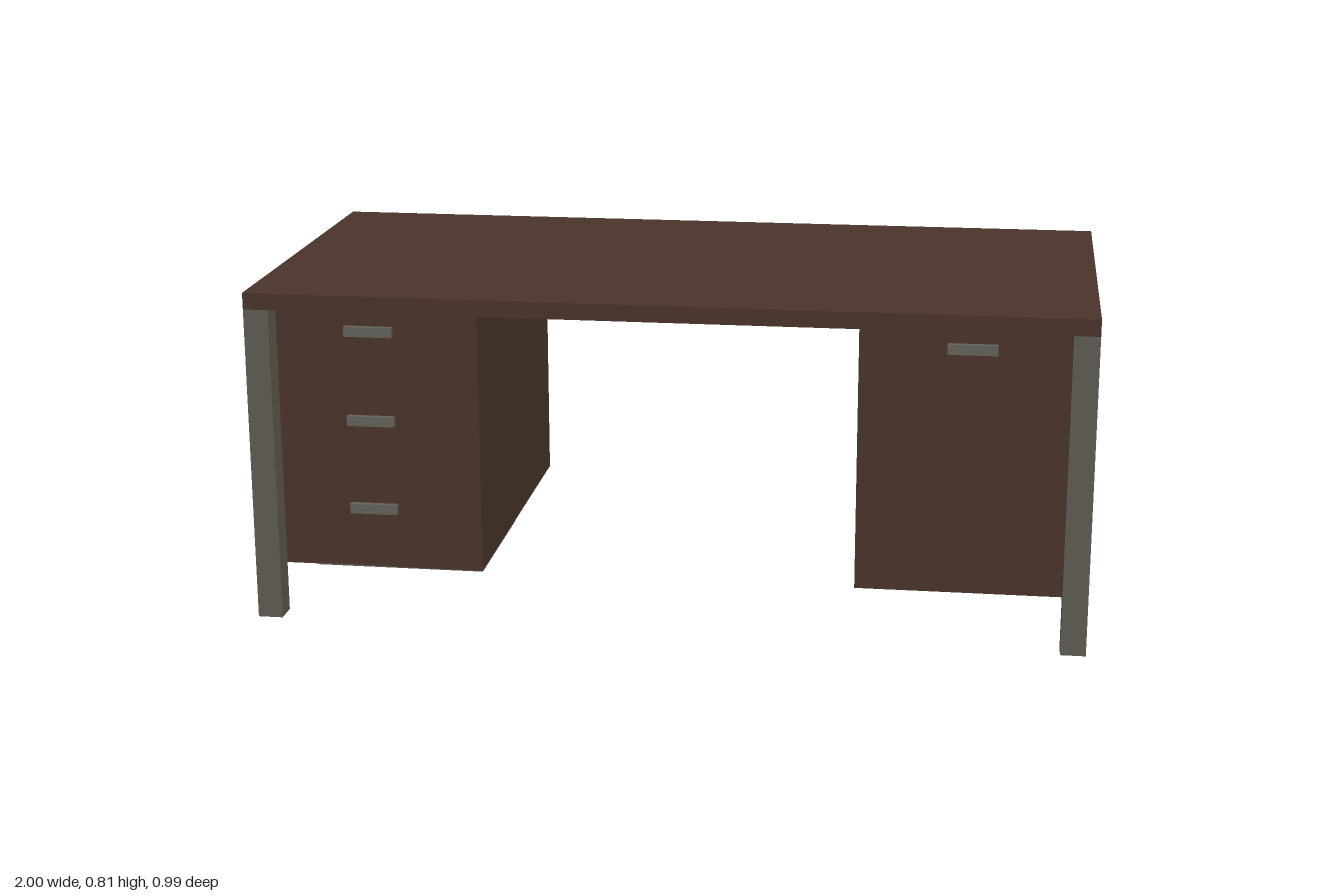
import * as THREE from 'three';

const wood = new THREE.MeshStandardMaterial({ color: 0x4a342b });
wood.name = 'dark wood';
const metal = new THREE.MeshStandardMaterial({ color: 0x5e5b52 });
metal.name = 'grey metal';
const handleMetal = new THREE.MeshStandardMaterial({ color: 0x62615a });
handleMetal.name = 'handle metal';

// Box given by its lower and upper corner
function box(name, material, [x0, y0, z0], [x1, y1, z1]) {
  const mesh = new THREE.Mesh(new THREE.BoxGeometry(x1 - x0, y1 - y0, z1 - z0), material);
  mesh.position.set((x0 + x1) / 2, (y0 + y1) / 2, (z0 + z1) / 2);
  mesh.name = name;
  return mesh;
}

export function createModel() {
  const W = 0.998, D = 0.493; // half width and half depth
  const LEG = 0.06, TOP = 0.77, BASE = 0.122, INNER = 0.45;
  const P = D - LEG; // half depth of the pedestals

  const desk = new THREE.Group();
  desk.name = 'desk';
  desk.add(box('tabletop', wood, [-W, TOP, -D], [W, 0.81, D]));

  for (const side of [-1, 1]) {
    const label = side > 0 ? 'left' : 'right';

    // Pedestal between the front and back legs
    const a = side * INNER, b = side * (W - 0.001);
    desk.add(box(label + 'Pedestal', wood,
      [Math.min(a, b), BASE, -P], [Math.max(a, b), TOP, P]));

    // Square corner legs
    for (const end of [-1, 1]) {
      const x = side * (W - LEG / 2), z = end * (D - LEG / 2);
      desk.add(box(label + (end > 0 ? 'Front' : 'Back') + 'Leg', metal,
        [x - LEG / 2, 0, z - LEG / 2], [x + LEG / 2, TOP, z + LEG / 2]));
    }

    // Three drawer pulls on one pedestal, one door pull on the other
    const heights = side > 0 ? [0.717] : [0.712, 0.492, 0.272];
    for (const y of heights) {
      const x = side * 0.712;
      desk.add(box(side > 0 ? 'doorHandle' : 'drawerHandle', handleMetal,
        [x - 0.058, y - 0.012, P], [x + 0.058, y + 0.012, P + 0.015]));
    }
  }

  // Metal drawer bottom showing under the drawer pedestal
  desk.add(box('drawerBottom', metal, [-0.86, BASE - 0.002, 0.05], [-INNER, BASE + 0.002, P]));

  // The desk stands very slightly turned
  desk.rotation.y = 0.004;
  const model = new THREE.Group();
  model.name = 'model';
  model.add(desk);
  return model;
}
